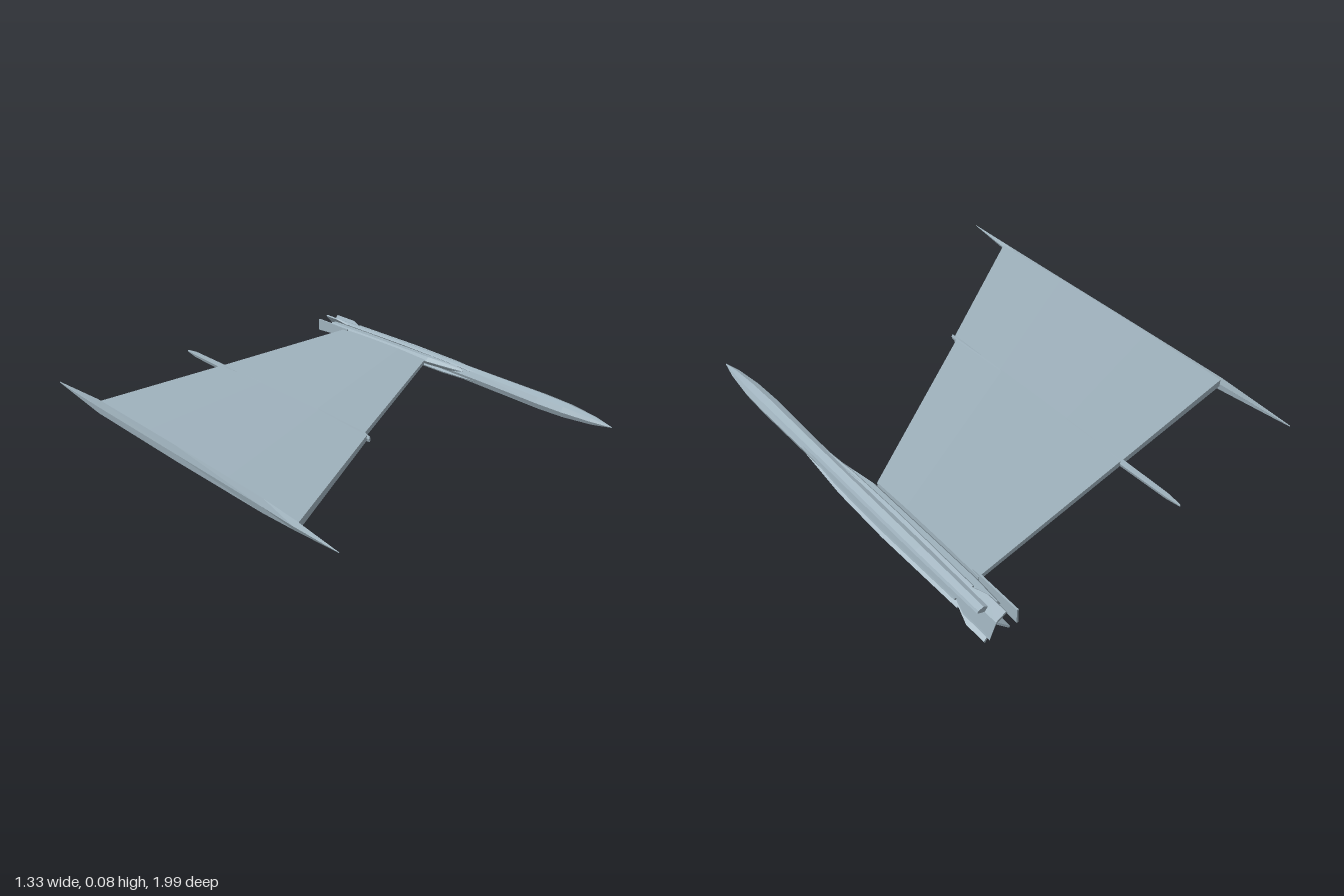
import * as THREE from 'three';

const grey = new THREE.MeshStandardMaterial({ color: 0x9fb2bd, flatShading: true });
grey.name = 'blueGrey';

// Skin a list of closed loops of [x, y, z]; loops run anticlockwise about the sweep direction
function loft(name, loops) {
  const n = loops[0].length, index = [];
  loops.slice(1).forEach((_, i) => {
    for (let j = 0; j < n; j++) {
      const k = (j + 1) % n, a = i * n + j, b = i * n + k, c = b + n, d = a + n;
      index.push(a, b, c, a, c, d);
    }
  });
  const last = (loops.length - 1) * n;
  for (let j = 1; j < n - 1; j++) {
    index.push(0, j + 1, j, last, last + j, last + j + 1);
  }
  const geo = new THREE.BufferGeometry();
  geo.setAttribute('position', new THREE.Float32BufferAttribute(loops.flat(2), 3));
  geo.setIndex(index);
  const flat = geo.toNonIndexed();
  flat.computeVertexNormals();
  const mesh = new THREE.Mesh(flat, grey);
  mesh.name = name;
  return mesh;
}

// Spindle along z from stations [z, centreX, centreY, radiusX, radiusY], rear to front
function spindle(name, sides, stations) {
  return loft(name, stations.map(([z, cx, cy, rx, ry]) =>
    Array.from({ length: sides }, (_, i) => {
      const a = (i / sides) * Math.PI * 2;
      return [cx + rx * Math.cos(a), cy + ry * Math.sin(a), z];
    })));
}

// Thin fin: outline in [radius, z], turned about the z axis
function fin(name, outline, angle, x, y, t = 0.006) {
  const shape = new THREE.Shape(outline.map(p => new THREE.Vector2(...p)));
  const geo = new THREE.ExtrudeGeometry(shape, { depth: t, bevelEnabled: false });
  geo.translate(0, 0, -t / 2).rotateX(Math.PI / 2).rotateZ(THREE.MathUtils.degToRad(angle));
  const mesh = new THREE.Mesh(geo, grey);
  mesh.name = name;
  mesh.position.set(x, y, 0);
  return mesh;
}

// Wing section at one x: leading and trailing edge, middle height, half thickness
function wingSection(x, lead, trail, y, half) {
  const z = f => trail + (lead - trail) * f;
  const profile = [[0, 0.6], [0.3, 0.95], [0.7, 1], [1, 0.6]];
  return [
    ...profile.map(([f, h]) => [x, y + h * half, z(f)]),
    ...profile.slice().reverse().map(([f, h]) => [x, y - h * half, z(f)]),
  ];
}

export function createModel() {
  const model = new THREE.Group();
  model.name = 'wingWithTipMissile';

  // Swept wing panel
  model.add(loft('wing', [
    wingSection(-0.655, 0.775, -0.44, 0.054, 0.019),
    wingSection(-0.105, 0.3, -0.6, 0.05, 0.014),
    wingSection(-0.1, 0.28, -0.6, 0.05, 0.014),
    wingSection(0.55, -0.27, -0.79, 0.046, 0.011),
  ]));

  // Long pointed fairing along the root
  model.add(spindle('rootFairing', 4, [
    [-0.75, -0.658, 0.052, 0.001, 0.002],
    [-0.44, -0.657, 0.05, 0.004, 0.024],
    [0.1, -0.656, 0.051, 0.004, 0.025],
    [0.6, -0.656, 0.054, 0.006, 0.022],
    [0.77, -0.66, 0.058, 0.008, 0.015],
    [0.985, -0.67, 0.065, 0.001, 0.001],
  ]));

  // Slim spar through the middle of the wing, with a trailing boom
  model.add(spindle('middleBoom', 6, [
    [-0.86, -0.103, 0.051, 0.002, 0.004],
    [-0.8, -0.103, 0.051, 0.006, 0.011],
    [-0.6, -0.103, 0.05, 0.008, 0.013],
    [-0.35, -0.103, 0.05, 0.002, 0.012],
  ]));
  model.add(spindle('leadingEdgeNotch', 4, [
    [0.12, -0.108, 0.05, 0.002, 0.012],
    [0.27, -0.108, 0.05, 0.004, 0.015],
    [0.32, -0.11, 0.05, 0.003, 0.009],
  ]));

  // Launch rail joining the wing tip to the missile
  model.add(spindle('launchRail', 6, [
    [-0.9, 0.575, 0.044, 0.018, 0.013],
    [-0.79, 0.573, 0.044, 0.022, 0.015],
    [-0.27, 0.578, 0.046, 0.024, 0.016],
    [0, 0.61, 0.045, 0.01, 0.012],
  ]));
  model.add(fin('railTailFin', [[-0.03, -0.96], [0.014, -0.96], [0.014, -0.76], [-0.018, -0.76]], 90, 0.545, 0.045));

  // Missile body
  const mx = 0.606, my = 0.036;
  model.add(spindle('missileBody', 8, [
    [-0.9, mx + 0.004, my, 0.024, 0.022],
    [-0.6, mx + 0.004, my, 0.027, 0.026],
    [0, mx + 0.002, my, 0.028, 0.027],
    [0.3, mx, my, 0.032, 0.028],
    [0.42, mx, my, 0.029, 0.025],
    [0.54, mx, my, 0.017, 0.015],
    [0.622, mx, my, 0.001, 0.001],
  ]));

  // Strakes and tail fins arranged in a cross
  const strake = [[0, -0.82], [0.042, -0.82], [0.048, -0.45], [0.044, -0.2], [0.027, 0.04], [0, 0.04]];
  const tail = [[0, -0.95], [0.056, -1], [0.056, -0.88], [0.03, -0.8], [0, -0.8]];
  for (const angle of [12, -38, 128, 212]) {
    const size = angle > 90 ? 0.75 : 1;
    const scaled = (outline, f) => outline.map(([r, z]) => [r * f, z < -0.95 && angle !== 12 ? -0.96 : z]);
    model.add(fin('strake', scaled(strake, size), angle, mx, my));
    model.add(fin('tailFin', scaled(tail, size), angle, mx, my));
  }
  return model;
}
